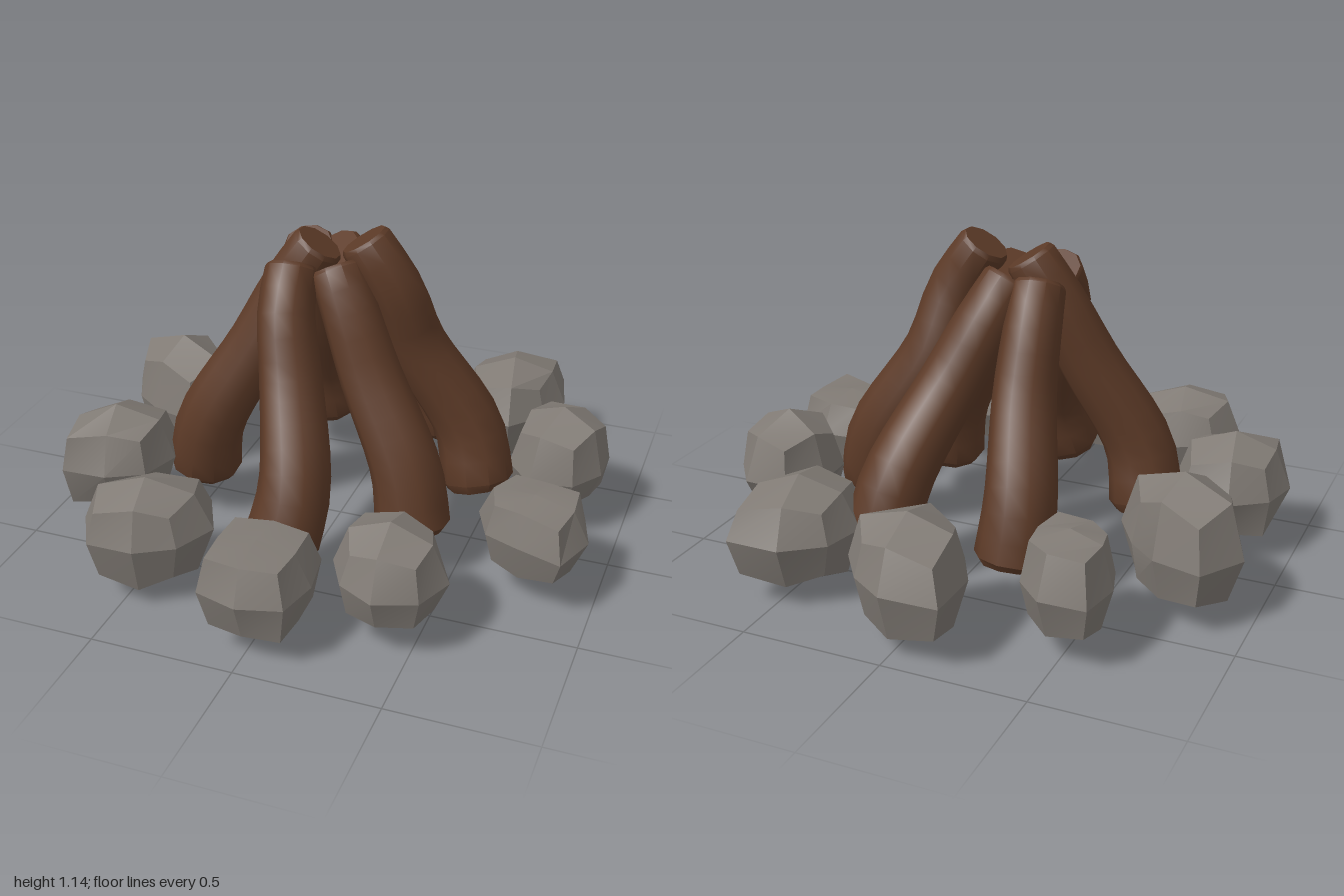
import * as THREE from 'three';
import { toCreasedNormals } from 'three/addons/utils/BufferGeometryUtils.js';

const stoneMaterial = new THREE.MeshStandardMaterial({ color: 0x807a74 });
const woodMaterial = new THREE.MeshStandardMaterial({ color: 0x5c3a27 });
const WAIST = 0.25; // height of every stone's widest ring

// Repeatable noise in -1..1 from a position and a seed, so shared corners stay joined
function noise(v, seed) {
  const s = Math.sin(v.x * 12.99 + v.y * 78.23 + v.z * 37.72 + seed * 4.17) * 43758.5;
  return (s - Math.floor(s)) * 2 - 1;
}

// A block of 2 x 2 faces per side, rounded into a waist ring of eight radii,
// a narrower ring above and below it, and a top and bottom point
function makeStone({ at, height, turn, radii }, seed) {
  const geo = new THREE.BoxGeometry(2, 2, 2, 2, 2, 2);
  const pos = geo.attributes.position;
  const v = new THREE.Vector3();
  const [bottom, top] = height;
  for (let i = 0; i < pos.count; i++) {
    v.fromBufferAttribute(pos, i).round();
    const isPole = v.x === 0 && v.z === 0;
    const step = (Math.round(Math.atan2(v.z, v.x) / (Math.PI / 4)) + 8) % 8;
    const angle = THREE.MathUtils.degToRad(turn + step * 45);
    let r = isPole ? 0 : radii[step];
    let y = WAIST;
    if (v.y !== 0) {
      const isCorner = step % 2 === 1;
      const bump = 0.04 * noise(v, seed);
      const reach = (v.y > 0 ? top : bottom) - WAIST;
      const level = Math.abs(reach) < 0.17 ? 0.85 : isCorner ? 0.58 : 0.74;
      r *= (isCorner ? 0.84 : 0.74) + bump;
      y += reach * (isPole ? 1 : level + bump);
    }
    pos.setXYZ(i, at[0] + r * Math.cos(angle), y, at[1] + r * Math.sin(angle));
  }
  return new THREE.Mesh(toCreasedNormals(geo, 0.35), stoneMaterial);
}

// A tapered round log with bevelled ends, bent along a curve from its foot to its tip
function makeLog(points) {
  const curve = new THREE.CatmullRomCurve3(points.map(p => new THREE.Vector3(...p)));
  const profile = [new THREE.Vector2(0, 0), new THREE.Vector2(0.108, 0)];
  for (let i = 0; i <= 12; i++) {
    const t = 0.03 + 0.955 * i / 12;
    profile.push(new THREE.Vector2(0.092 + 0.04 * (1 - t), t));
  }
  profile.push(new THREE.Vector2(0.084, 1), new THREE.Vector2(0, 1));

  const geo = new THREE.LatheGeometry(profile, 10);
  const pos = geo.attributes.position;
  const up = new THREE.Vector3(0, 1, 0);
  const v = new THREE.Vector3();
  const turn = new THREE.Quaternion();
  for (let i = 0; i < pos.count; i++) {
    v.fromBufferAttribute(pos, i);
    const t = THREE.MathUtils.clamp(v.y, 0, 1);
    turn.setFromUnitVectors(up, curve.getTangentAt(t));
    v.setY(0).applyQuaternion(turn).add(curve.getPointAt(t));
    pos.setXYZ(i, v.x, v.y, v.z);
  }
  return new THREE.Mesh(toCreasedNormals(geo, 0.72), woodMaterial);
}

export function createModel() {
  const model = new THREE.Group();
  model.name = 'campfire';

  // Ring of stones: centre (x, z), bottom and top, turn in degrees, waist radii every 45 degrees
  const stones = [
    { at: [0, -0.79], height: [0.01, 0.45], turn: 0, radii: [0.22, 0.17, 0.21, 0.19, 0.21, 0.29, 0.21, 0.18] },
    { at: [0.48, -0.65], height: [0.03, 0.43], turn: -10, radii: [0.20, 0.18, 0.23, 0.23, 0.21, 0.21, 0.225, 0.27] },
    { at: [0.76, -0.25], height: [0.13, 0.47], turn: 20, radii: [0.17, 0.19, 0.21, 0.19, 0.19, 0.225, 0.21, 0.18] },
    { at: [0.77, 0.22], height: [0.07, 0.38], turn: 10, radii: [0.20, 0.24, 0.145, 0.17, 0.20, 0.205, 0.18, 0.19] },
    { at: [0.40, 0.63], height: [0.12, 0.44], turn: 0, radii: [0.20, 0.20, 0.195, 0.18, 0.195, 0.215, 0.195, 0.18] },
    { at: [0.01, 0.80], height: [0.09, 0.39], turn: 0, radii: [0.185, 0.21, 0.19, 0.21, 0.18, 0.225, 0.19, 0.225] },
    { at: [-0.46, 0.64], height: [0.02, 0.43], turn: -10, radii: [0.23, 0.195, 0.19, 0.23, 0.22, 0.185, 0.175, 0.25] },
    { at: [-0.77, 0.25], height: [0.09, 0.45], turn: -10, radii: [0.21, 0.195, 0.185, 0.23, 0.20, 0.195, 0.205, 0.24] },
    { at: [-0.74, -0.26], height: [0.04, 0.50], turn: 15, radii: [0.245, 0.24, 0.175, 0.18, 0.235, 0.25, 0.18, 0.17] },
    { at: [-0.49, -0.64], height: [0.05, 0.42], turn: 10, radii: [0.16, 0.185, 0.20, 0.15, 0.16, 0.225, 0.19, 0.16] },
  ];
  const ring = new THREE.Group();
  ring.name = 'stoneRing';
  stones.forEach((spec, i) => {
    const stone = makeStone(spec, i + 1);
    stone.name = `stone${i + 1}`;
    ring.add(stone);
  });

  // Logs leaning together: centre line from foot to tip
  const logs = {
    frontLog: [[-0.03, 0.17, 0.52], [0, 0.38, 0.45], [-0.08, 0.68, 0.27], [-0.13, 0.89, 0.18], [-0.14, 1.02, 0.09]],
    frontLeftLog: [[0.36, 0.17, 0.255], [0.32, 0.38, 0.22], [0.16, 0.68, 0.14], [0.07, 0.89, 0.1], [0, 1.02, 0.05]],
    leftLog: [[0.495, 0.18, -0.095], [0.44, 0.4, -0.13], [0.25, 0.72, -0.08], [0.19, 0.94, -0.02], [0.08, 1.11, -0.01]],
    backLeftLog: [[0.245, 0.17, -0.52], [0.21, 0.38, -0.47], [0.1, 0.68, -0.27], [0.01, 0.89, -0.18], [-0.05, 1.02, -0.1]],
    backRightLog: [[-0.23, 0.17, -0.5], [-0.24, 0.38, -0.45], [-0.18, 0.68, -0.28], [-0.17, 0.89, -0.19], [-0.16, 1.02, -0.11]],
    rightLog: [[-0.495, 0.17, 0.1], [-0.45, 0.39, 0.13], [-0.28, 0.7, 0.07], [-0.17, 0.93, 0.02], [-0.075, 1.08, 0]],
  };
  const pile = new THREE.Group();
  pile.name = 'logPile';
  for (const [name, points] of Object.entries(logs)) {
    const log = makeLog(points);
    log.name = name;
    pile.add(log);
  }

  model.add(ring, pile);
  return model;
}
